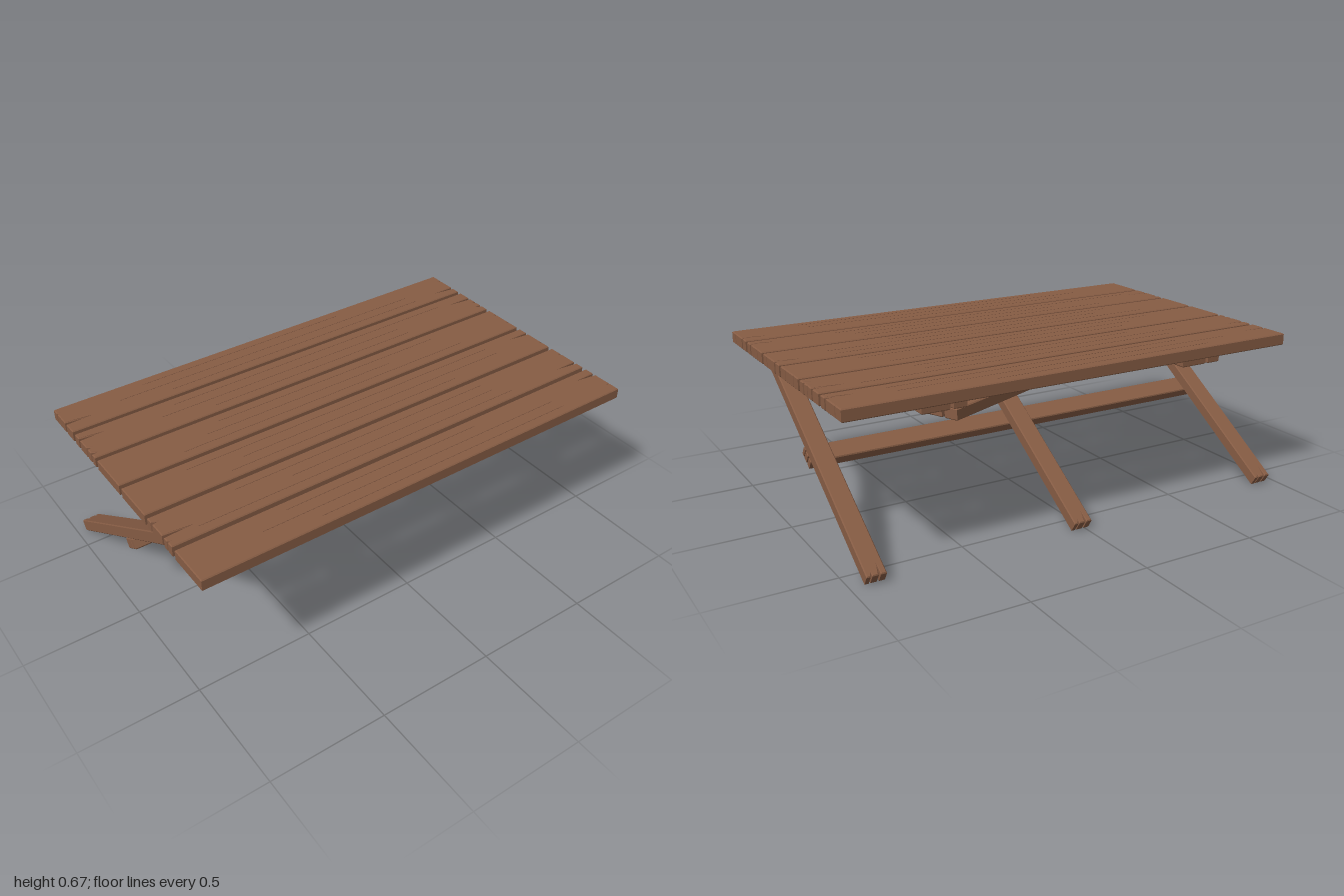
import * as THREE from 'three';

const BEVEL = 0.004;

// Board lying flat: length on x, width on z. Cracks are [z offset, depth, width] at each end.
function boardGeometry(length, width, thick, startCracks = [], endCracks = []) {
  const x = length / 2, y = width / 2;
  const shape = new THREE.Shape();
  const up = (cracks) => [...cracks].sort((a, b) => b[0] - a[0]); // z falls as shape y rises
  shape.moveTo(-x, -y).lineTo(x, -y);
  for (const [z, depth, w = 0.014] of up(endCracks)) {
    shape.lineTo(x, -z - w / 2).lineTo(x - depth, -z + w * 0.3).lineTo(x, -z + w / 2);
  }
  shape.lineTo(x, y).lineTo(-x, y);
  for (const [z, depth, w = 0.014] of up(startCracks).reverse()) {
    shape.lineTo(-x, -z + w / 2).lineTo(-x + depth, -z - w * 0.3).lineTo(-x, -z - w / 2);
  }
  shape.closePath();
  const g = new THREE.ExtrudeGeometry(shape, {
    depth: thick - 2 * BEVEL, bevelEnabled: true, bevelSegments: 1,
    bevelSize: BEVEL, bevelThickness: BEVEL, bevelOffset: -BEVEL,
  });
  g.translate(0, 0, -(thick - 2 * BEVEL) / 2);
  return g.rotateX(-Math.PI / 2);
}

export function createModel() {
  const wood = new THREE.MeshStandardMaterial({ color: 0x865c44 });
  wood.name = 'brown wood';
  const grain = new THREE.MeshStandardMaterial({ color: 0x724d39 });
  grain.name = 'wood grain';

  const table = new THREE.Group();
  table.name = 'table';
  const add = (name, geometry, x, y, z, material = wood) => {
    const mesh = new THREE.Mesh(geometry, material);
    mesh.name = name;
    mesh.position.set(x, y, z);
    table.add(mesh);
    return mesh;
  };

  // Table top: six planks with split ends, listed from front to back
  const cracks = [
    { start: [], end: [[-0.045, 0.1], [0.045, 0.012, 0.006]] },
    { start: [[0.027, 0.12], [-0.06, 0.025], [0.06, 0.015, 0.008]], end: [[0.05, 0.1], [-0.035, 0.012, 0.006]] },
    { start: [], end: [[-0.045, 0.1], [0.05, 0.012, 0.006]] },
    { start: [], end: [[0.04, 0.012, 0.006], [-0.045, 0.012, 0.006]] },
    { start: [[-0.05, 0.1], [0.02, 0.02], [0.06, 0.025]], end: [[-0.03, 0.12], [0.055, 0.03], [0.015, 0.015, 0.008]] },
    { start: [[0.025, 0.11], [-0.06, 0.012, 0.006]], end: [[0.05, 0.1], [-0.04, 0.012, 0.006]] },
  ];
  const top = 0.67, thick = 0.05;
  cracks.forEach(({ start, end }, i) => {
    const z = 0.527 - i * 0.207;
    add('topPlank', boardGeometry(2, 0.187, thick, start, end), 0, top - thick / 2, z);
    // Fine grain lines
    [-0.05, 0.002, 0.052].forEach((dz, k) => {
      const length = 0.9 + ((i * 3 + k * 5) % 7) * 0.1;
      const shift = (((i + k * 2) % 5) - 2) * 0.06;
      add('grainLine', new THREE.BoxGeometry(length, 0.001, 0.002), shift, top, z + dz, grain);
    });
  });

  // Battens under the top
  for (const [x, width] of [[-0.605, 0.19], [0.582, 0.186]]) {
    const batten = add('batten', boardGeometry(1.02, width, 0.045, [[0.04, 0.03]], [[-0.03, 0.03]]), x, 0.5975, -0.03);
    batten.rotation.y = Math.PI / 2;
  }

  // Diagonal brace under the battens
  const brace = add('diagonalBrace', boardGeometry(1.345, 0.19, 0.046, [[0.03, 0.06]], [[-0.03, 0.06]]), -0.043, 0.552, -0.185);
  brace.rotation.y = THREE.MathUtils.degToRad(23.8);

  // Three sloping legs, cut level where they meet the top
  const foot = new THREE.Vector2(-0.608, 0.022), head = new THREE.Vector2(0.335, 0.62);
  const slope = Math.atan2(head.y - foot.y, head.x - foot.x);
  const s = Math.sin(slope), c = Math.cos(slope);
  const tilt = new THREE.Matrix4().makeBasis(
    new THREE.Vector3(0, s, c), new THREE.Vector3(0, c, -s), new THREE.Vector3(-1, 0, 0));
  for (const x of [-0.923, 0.022, 0.904]) {
    const g = boardGeometry(foot.distanceTo(head), 0.079, 0.05, [[0.012, 0.05, 0.008], [-0.02, 0.02, 0.006]]);
    const p = g.attributes.position;
    for (let i = 0; i < p.count; i++) {
      if (p.getX(i) > 0) p.setX(i, p.getX(i) - p.getY(i) / Math.tan(slope));
    }
    g.computeVertexNormals();
    add('leg', g.applyMatrix4(tilt), x, (foot.y + head.y) / 2, (foot.x + head.x) / 2);
  }

  // Rail joining the legs from below
  const rail = add('legRail', boardGeometry(1.908, 0.08, 0.046, [[0.012, 0.06, 0.008]], [[-0.012, 0.06, 0.008], [0.02, 0.02, 0.006]]), -0.01, 0.31, -0.068);
  rail.rotation.x = -slope;

  return table;
}
